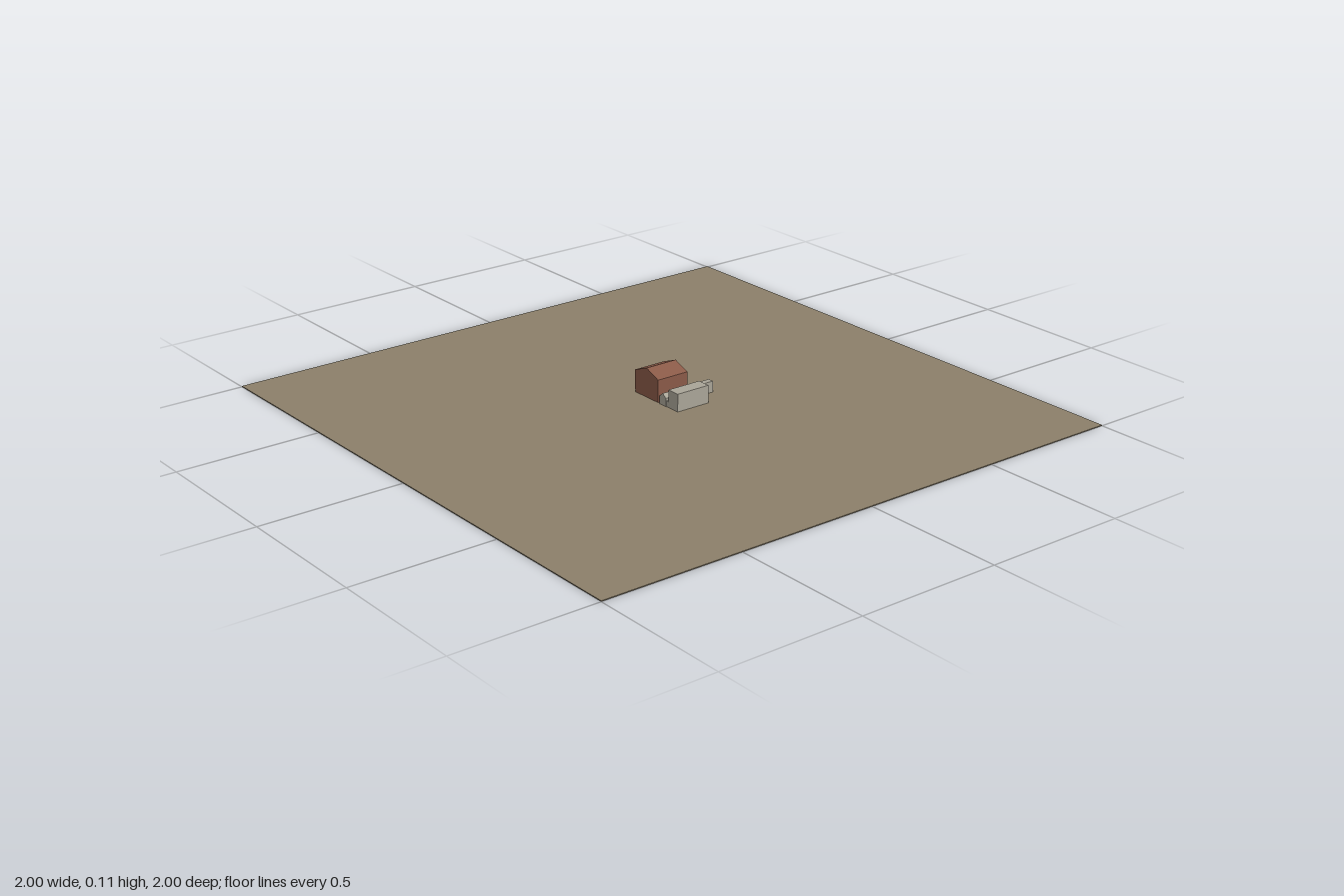
import * as THREE from 'three';

export function createModel() {
  const model = new THREE.Group();
  const mat = (name, color) => {
    const m = new THREE.MeshStandardMaterial({ color });
    m.name = name;
    return m;
  };
  const earth = mat('earth', 0x8c806a);
  const brick = mat('brick red', 0x8a5a48);
  const stone = mat('pale stone', 0xaaa598);

  const add = (name, geometry, material) => {
    const mesh = new THREE.Mesh(geometry, material);
    mesh.name = name;
    model.add(mesh);
    return mesh;
  };
  // box given by its limits on each axis
  const block = (name, material, [x0, x1], [y0, y1], [z0, z1]) => {
    const mesh = add(name, new THREE.BoxGeometry(x1 - x0, y1 - y0, z1 - z0), material);
    mesh.position.set((x0 + x1) / 2, (y0 + y1) / 2, (z0 + z1) / 2);
  };
  // gabled block: house-shaped section run along z
  const gabled = (name, material, [x0, x1], eaves, ridge, [z0, z1]) => {
    const shape = new THREE.Shape([
      new THREE.Vector2(x0, 0), new THREE.Vector2(x1, 0), new THREE.Vector2(x1, eaves),
      new THREE.Vector2((x0 + x1) / 2, ridge), new THREE.Vector2(x0, eaves),
    ]);
    const geometry = new THREE.ExtrudeGeometry(shape, { depth: z1 - z0, bevelEnabled: false });
    geometry.translate(0, 0, z0);
    add(name, geometry, material);
  };

  // ground in two halves meeting on the centre line
  block('backGround', earth, [-1, 1], [0, 0.003], [-1, 0]);
  block('frontGround', earth, [-1, 1], [0, 0.003], [0, 1]);

  // large gabled building
  gabled('barn', brick, [-0.15, -0.027], 0.082, 0.106, [-0.122, 0]);

  // flat-roofed building
  block('flatBuilding', stone, [0.027, 0.076], [0, 0.065], [-0.128, 0]);

  // narrow middle building, its wider front part and a low link
  block('narrowWing', stone, [-0.011, 0.011], [0, 0.042], [-0.2, -0.15]);
  gabled('narrowHouse', stone, [-0.016, 0.016], 0.032, 0.045, [-0.155, 0.002]);
  block('lowLink', stone, [0.014, 0.029], [0, 0.023], [-0.063, 0]);

  return model;
}
